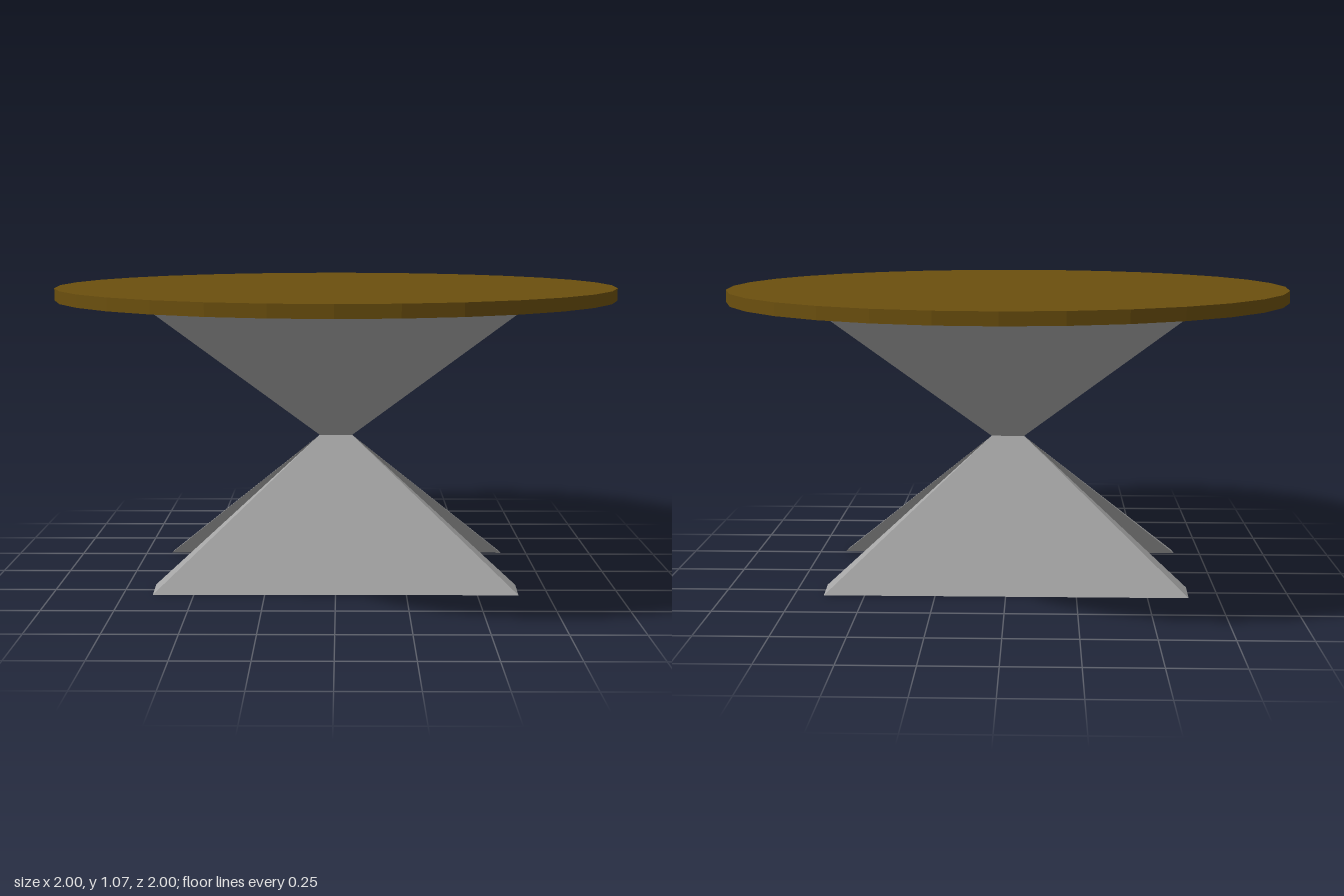
import * as THREE from 'three';

// Tapered leg: a triangular prism spreading from the waist line to a wide edge.
// outer and inner are the [y, z] of the wide edge's two long corners.
function wedge(outer, inner, flip) {
  const wide = 0.645, narrow = 0.06;
  const pair = ([y, z], w) => [[-w, y, z], [w, y, z]];
  const [oL, oR] = pair(outer, wide);
  const [iL, iR] = pair(inner, wide);
  const [aL, aR] = pair([0.52, 0], narrow);
  const quad = (a, b, c, d) => [[a, b, c], [a, c, d]];
  const tris = [
    ...quad(oL, oR, aR, aL), // outer face
    ...quad(iL, iR, oR, oL), // wide edge
    ...quad(iR, iL, aL, aR), // inner face
    [oR, iR, aR], [iL, oL, aL], // sides
  ];
  const points = tris.flatMap((t) => (flip ? [t[0], t[2], t[1]] : t)).flat();
  const geometry = new THREE.BufferGeometry();
  geometry.setAttribute('position', new THREE.Float32BufferAttribute(points, 3));
  geometry.computeVertexNormals();
  return geometry;
}

export function createModel() {
  const model = new THREE.Group();
  model.name = 'roundTable';

  const wood = new THREE.MeshStandardMaterial({ color: 0x6b4f0e });
  wood.name = 'brownWood';
  const metal = new THREE.MeshStandardMaterial({ color: 0xa4a4a4 });
  metal.name = 'greyMetal';

  // Round top with 32 flat sides
  const top = new THREE.Mesh(new THREE.CylinderGeometry(1, 1, 0.043, 32).toNonIndexed(), wood);
  top.geometry.computeVertexNormals();
  top.name = 'tableTop';
  top.position.y = 1.0495;
  model.add(top);

  // Four wedges meeting at the waist: lower feet and upper supports
  const base = new THREE.Group();
  base.name = 'crossedBase';
  for (const s of [1, -1]) {
    const zOuter = s * 0.313, zInner = s * 0.224;
    const side = s > 0 ? 'front' : 'back';
    const foot = new THREE.Mesh(wedge([0, zOuter], [0.012, zInner], s < 0), metal);
    foot.name = side + 'Foot';
    const support = new THREE.Mesh(wedge([1.008, zOuter], [1.028, zInner], s > 0), metal);
    support.name = side + 'Support';
    base.add(foot, support);
  }
  model.add(base);
  return model;
}
